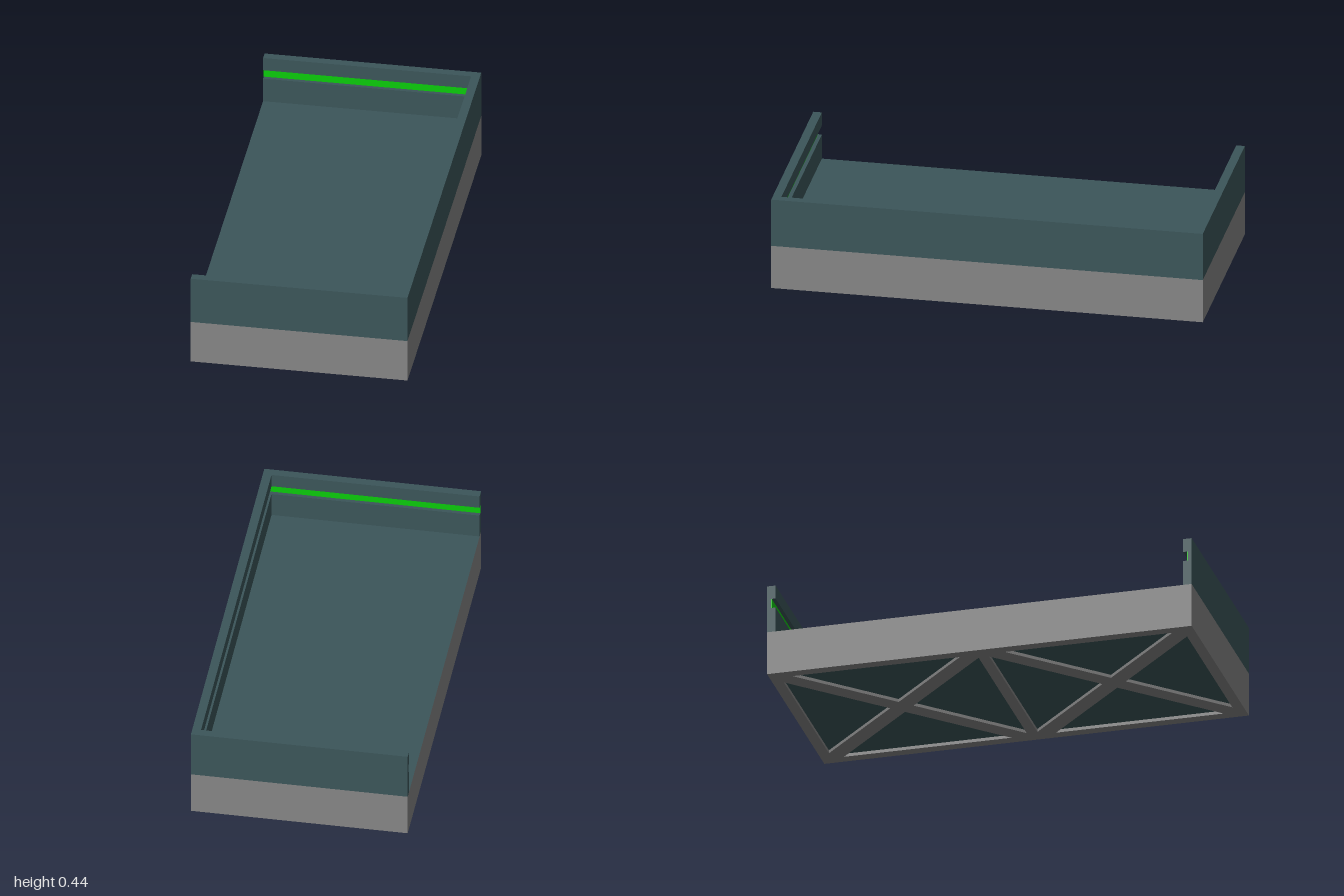
import * as THREE from 'three';

const mat = (name, color) => {
  const m = new THREE.MeshStandardMaterial({ color });
  m.name = name;
  return m;
};

export function createModel() {
  const model = new THREE.Group();
  model.name = 'tray';
  const teal = mat('dark teal', 0x3c565a);
  const grey = mat('grey', 0x868686);
  const green = mat('bright green', 0x0acc0a);

  const add = (name, geometry, material) => {
    const mesh = new THREE.Mesh(geometry, material);
    mesh.name = name;
    model.add(mesh);
  };
  const points = (list) => list.map(([x, y]) => new THREE.Vector2(x, y));

  // Extrude a plan outline upwards from y0 to y1
  const slab = (shape, y0, y1) =>
    new THREE.ExtrudeGeometry(shape, { depth: y1 - y0, bevelEnabled: false })
      .rotateX(-Math.PI / 2)
      .translate(0, y0, 0);

  // Three-sided wall in plan, between two insets, open on the -x side
  const wall = (inset, thickness) => {
    const a = 0.5 - inset, b = 1 - inset;
    const c = 0.5 - thickness, d = 1 - thickness;
    return new THREE.Shape(points([
      [-0.5, -b], [a, -b], [a, b], [-0.5, b],
      [-0.5, d], [c, d], [c, -d], [-0.5, -d],
    ]));
  };

  // Base block: grey sides, teal floor and underside
  add('base', new THREE.BoxGeometry(1, 0.195, 2).translate(0, 0.1125, 0),
    [grey, grey, teal, teal, grey, grey]);

  // Underside frame: rim, crossbar and diagonal braces
  const frame = new THREE.Shape(points([[-0.5, -1], [0.5, -1], [0.5, 1], [-0.5, 1]]));
  const g = 0.055; // brace half width measured along the axes
  for (const s of [1, -1]) {
    const triangles = [
      [[g, 0.5], [0.45, 0.95 - g], [0.45, 0.05 + g]],
      [[-g, 0.5], [-0.45, 0.95 - g], [-0.45, 0.05 + g]],
      [[0, 0.5 + g], [0.45 - g, 0.95], [g - 0.45, 0.95]],
      [[0, 0.5 - g], [0.475 - g, 0.025], [g - 0.475, 0.025]],
    ];
    for (const t of triangles) {
      frame.holes.push(new THREE.Path(points(t.map(([x, z]) => [x, z * s]))));
    }
  }
  add('undersideFrame', slab(frame, 0, 0.015), grey);

  // Walls with a groove along the inside
  add('lowerWall', slab(wall(0, 0.04), 0.21, 0.33), teal);
  add('grooveWall', slab(wall(0, 0.018), 0.33, 0.375), teal);
  add('upperWall', slab(wall(0, 0.04), 0.375, 0.44), teal);

  // Coloured strip set into the groove
  add('grooveStrip', slab(wall(0.018, 0.022), 0.33, 0.375), green);

  return model;
}
